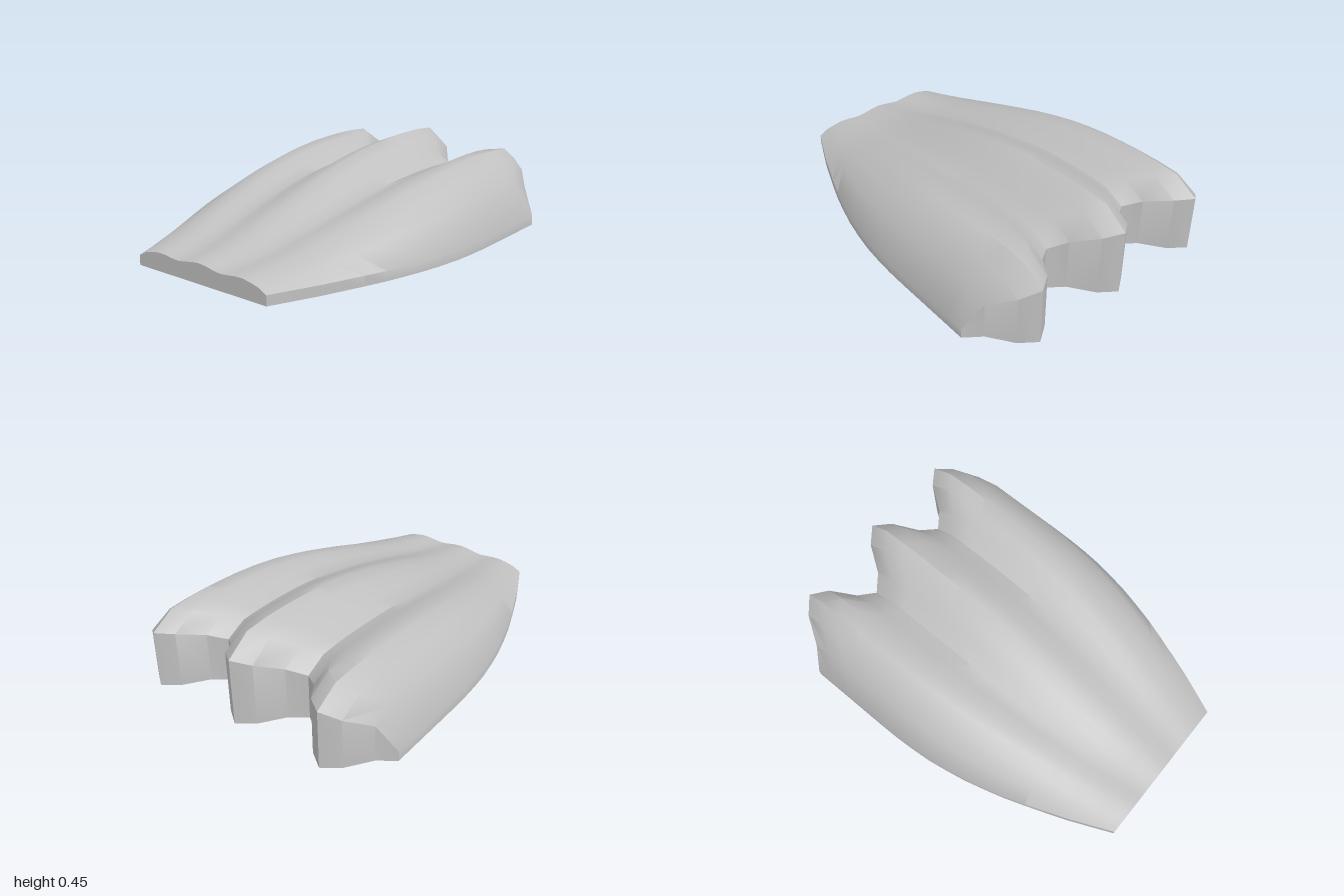
import * as THREE from 'three';
import { toCreasedNormals } from 'three/addons/utils/BufferGeometryUtils.js';

// Height of the full-size cross-section, from the middle out to the edge
const SECTION = [0.45, 0.415, 0.345, 0.3, 0.331, 0.378, 0.385, 0.325, 0.235, 0.05];
// Front end of each strip: lobe tip, two shoulder points, notch
const TIP = [1, 0.94, 0.82, 0.76];
// Swelling of height and width along the length, back to front
const HEIGHT = [0.125, 0.175, 0.24, 0.33, 0.43, 0.53, 0.625, 0.715, 0.795,
  0.865, 0.92, 0.96, 0.985, 1, 1, 0.975, 0.75];
const WIDTH = [0.547, 0.613, 0.678, 0.735, 0.79, 0.842, 0.885, 0.924, 0.953,
  0.977, 0.99, 0.998, 1, 1, 1, 1, 1];

const ROWS = HEIGHT.length; // along x
const HALF = SECTION.length - 1;
const COLS = HALF * 2 + 1; // across z
const RIM = 0.05; // height of the side wall

// Closed solid: lobed top, flat underside and vertical walls between them
function lobedGeometry() {
  const positions = [];
  const index = [];
  for (const top of [true, false]) {
    for (let i = 0; i < ROWS; i++) {
      for (let j = 0; j < COLS; j++) {
        const k = Math.abs(j - HALF);
        const phase = k % 6; // ridges every six strips
        const end = TIP[Math.min(phase, 6 - phase)];
        const x = -1 + (i / (ROWS - 1)) * (end + 1);
        const y = top ? RIM + (SECTION[k] - RIM) * HEIGHT[i] : 0;
        const z = ((j - HALF) / HALF) * 0.75 * WIDTH[i];
        positions.push(x, y, z);
      }
    }
  }
  const lower = ROWS * COLS;
  const at = (i, j) => i * COLS + j;
  const quad = (a, b, c, d) => index.push(a, b, c, a, c, d);

  // Top and underside
  for (let i = 0; i < ROWS - 1; i++) {
    for (let j = 0; j < COLS - 1; j++) {
      const a = at(i, j), b = at(i, j + 1), c = at(i + 1, j + 1), d = at(i + 1, j);
      quad(a, b, c, d);
      quad(lower + a, lower + d, lower + c, lower + b);
    }
  }
  // Walls
  const wall = (a, b) => quad(a, lower + a, lower + b, b);
  for (let i = 0; i < ROWS - 1; i++) {
    wall(at(i, COLS - 1), at(i + 1, COLS - 1));
    wall(at(i + 1, 0), at(i, 0));
  }
  for (let j = 0; j < COLS - 1; j++) {
    wall(at(0, j), at(0, j + 1));
    wall(at(ROWS - 1, j + 1), at(ROWS - 1, j));
  }

  const geometry = new THREE.BufferGeometry();
  geometry.setAttribute('position', new THREE.Float32BufferAttribute(positions, 3));
  geometry.setIndex(index);
  // Ridges and notches sharpen toward the lobed end
  return toCreasedNormals(geometry, THREE.MathUtils.degToRad(40));
}

export function createModel() {
  const group = new THREE.Group();
  group.name = 'lobedShell';
  const grey = new THREE.MeshStandardMaterial({ color: 0xc0c0c0 });
  grey.name = 'light grey';
  const body = new THREE.Mesh(lobedGeometry(), grey);
  body.name = 'lobedBody';
  group.add(body);
  return group;
}
